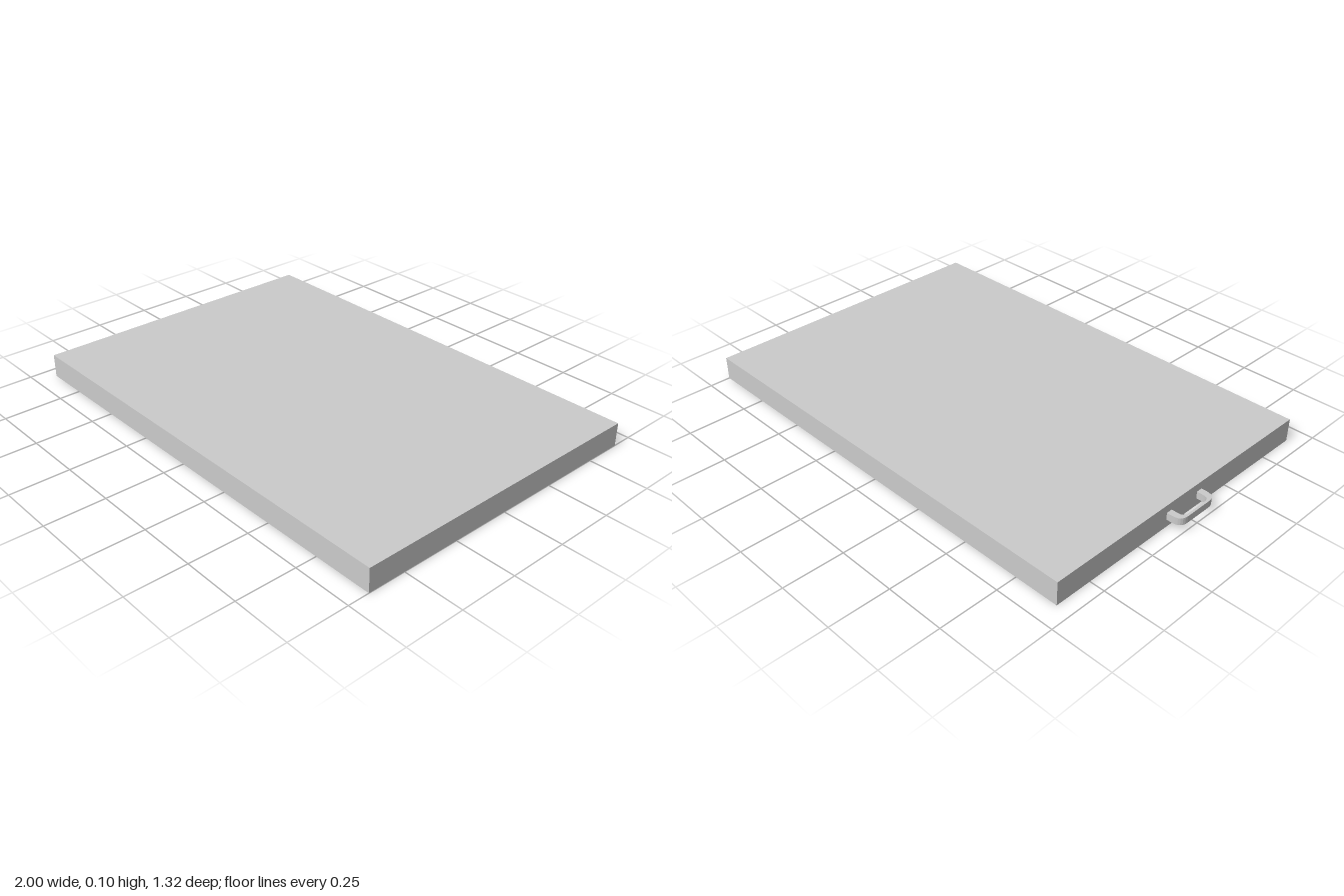
import * as THREE from 'three';

// Adds a U-shaped outline, open end at x = -0.935, with rounded outer corners
function traceU(path, xOuter, half, radius, reverse) {
  const xEnd = -0.935;
  const s = reverse ? -1 : 1;
  path.lineTo(xEnd, -half * s);
  path.lineTo(xOuter + radius, -half * s);
  path.quadraticCurveTo(xOuter, -half * s, xOuter, (-half + radius) * s);
  path.lineTo(xOuter, (half - radius) * s);
  path.quadraticCurveTo(xOuter, half * s, xOuter + radius, half * s);
  path.lineTo(xEnd, half * s);
}

export function createModel() {
  const group = new THREE.Group();
  const material = new THREE.MeshStandardMaterial({ color: 0xcccccc, flatShading: true });

  // Flat slab
  const panel = new THREE.Mesh(new THREE.BoxGeometry(1.937, 0.1, 1.322), material);
  panel.name = 'panel';
  panel.position.set(0.0315, 0.05, 0);
  group.add(panel);

  // Pull handle: thick legs joined by a thin grip
  const outline = new THREE.Shape();
  outline.moveTo(-0.935, -0.1);
  traceU(outline, -1, 0.1, 0.04, false);
  traceU(outline, -0.99, 0.073, 0.025, true);
  outline.closePath();
  const handleGeometry = new THREE.ExtrudeGeometry(outline, {
    depth: 0.03, bevelEnabled: false, curveSegments: 6,
  });
  handleGeometry.rotateX(-Math.PI / 2);
  const handle = new THREE.Mesh(handleGeometry, material);
  handle.name = 'handle';
  handle.position.y = 0.035;
  group.add(handle);

  return group;
}
